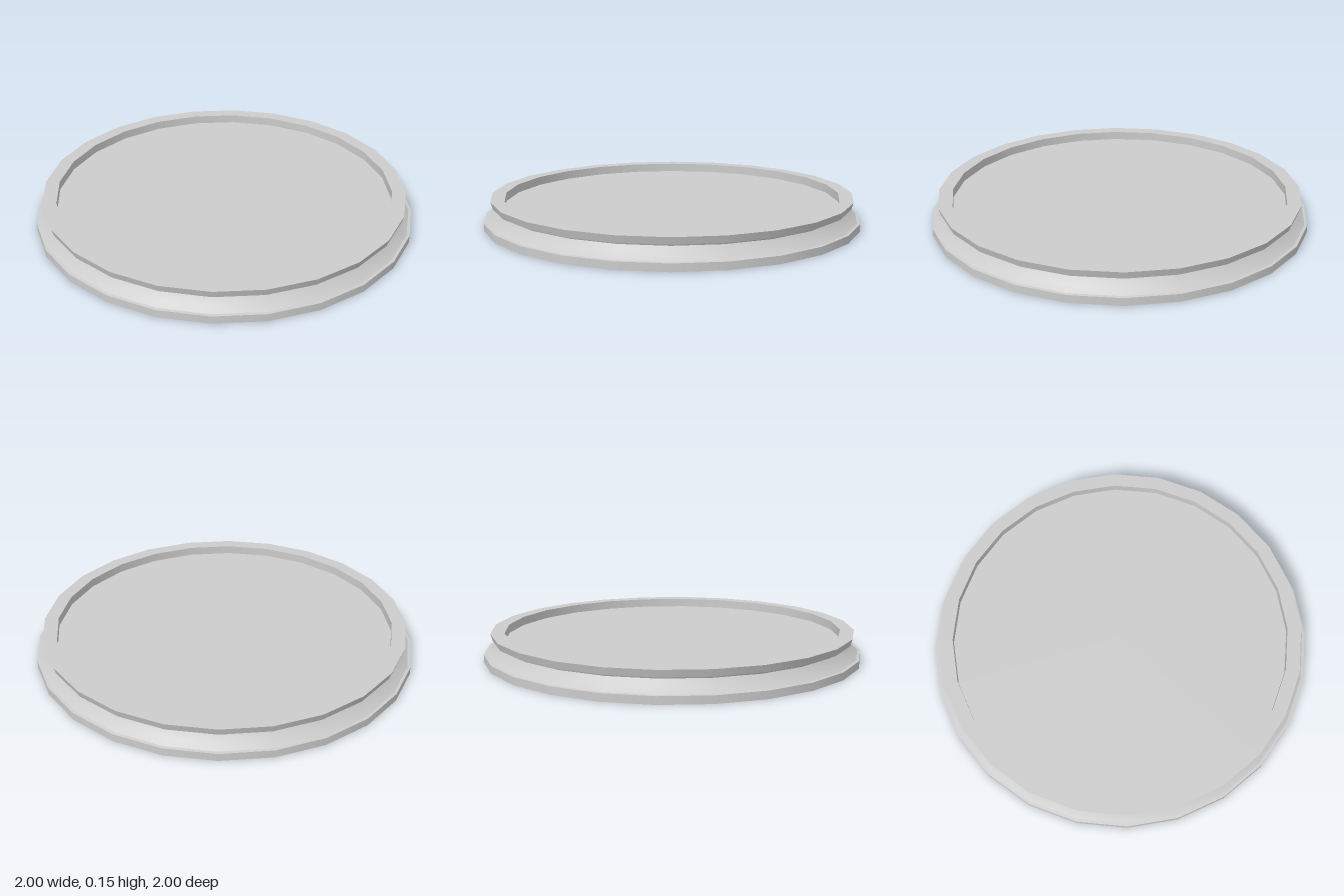
import * as THREE from 'three';

const SIDES = 24;

export function createModel() {
  const group = new THREE.Group();
  const material = new THREE.MeshStandardMaterial({ color: 0xcccccc, side: THREE.DoubleSide });

  // One turned band per profile run, so the edges between bands stay sharp.
  const band = (name, profile) => {
    const points = profile.map(([r, y]) => new THREE.Vector2(r, y));
    const mesh = new THREE.Mesh(new THREE.LatheGeometry(points, SIDES), material);
    mesh.name = name;
    group.add(mesh);
  };

  // Foot, open underneath
  band('footSide', [[1, 0], [1, 0.04]]);
  band('footLedge', [[1, 0.04], [0.985, 0.042]]);

  // Concave slope up to the waist
  band('slope', [[0.985, 0.042], [0.953, 0.068], [0.93, 0.102]]);
  band('waist', [[0.93, 0.102], [0.935, 0.112]]);
  band('waistUnderside', [[0.89, 0.104], [0.93, 0.102]]);

  // Raised lip around the plate
  band('lipUnderside', [[0.935, 0.112], [0.952, 0.113]]);
  band('lipSide', [[0.952, 0.113], [0.963, 0.15]]);
  band('lipTop', [[0.963, 0.15], [0.89, 0.15]]);
  band('lipInnerWall', [[0.89, 0.15], [0.89, 0.104]]);

  // Recessed plate
  band('plate', [[0.89, 0.104], [0, 0.104]]);

  return group;
}
